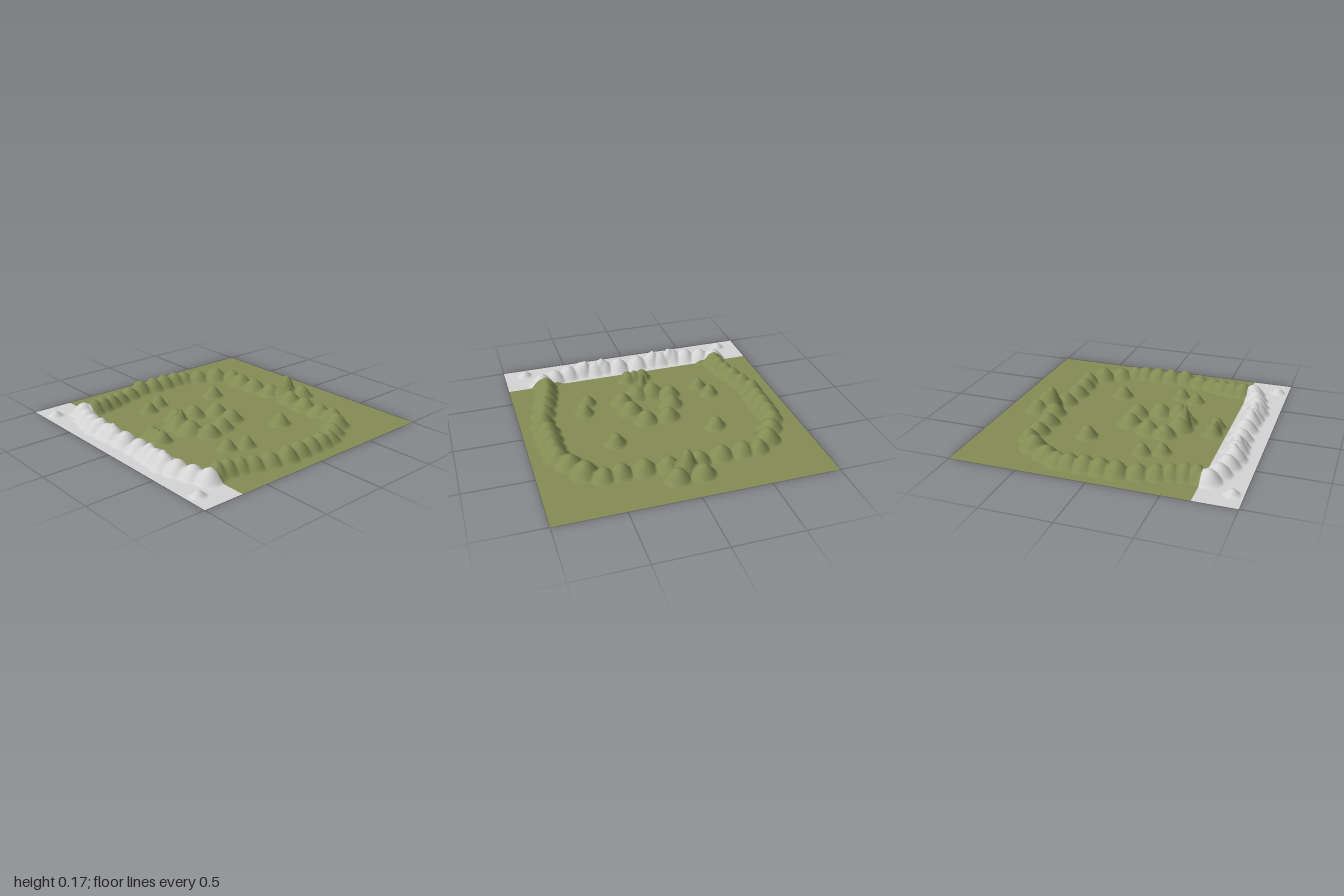
import * as THREE from 'three';

// Mounds as [x, z, radius, height]; those off the centre line are mirrored in x
const ring = [
  [0.09, -0.77, 0.095, 0.09], [0.11, -0.62, 0.095, 0.085], [0.28, -0.6, 0.1, 0.085],
  [0.44, -0.6, 0.095, 0.085], [0.56, -0.61, 0.085, 0.085], [0.67, -0.52, 0.105, 0.1],
  [0.75, -0.39, 0.1, 0.08], [0.81, -0.28, 0.095, 0.08], [0.82, -0.19, 0.095, 0.09],
  [0.82, -0.08, 0.1, 0.095], [0.82, 0.03, 0.1, 0.095], [0.83, 0.15, 0.095, 0.1],
  [0.8, 0.28, 0.095, 0.085], [0.77, 0.4, 0.095, 0.085], [0.74, 0.49, 0.09, 0.09],
  [0.72, 0.58, 0.09, 0.1], [0.71, 0.66, 0.09, 0.1],
];
const frontWall = [
  [0.73, 0.74, 0.1, 0.09], [0.62, 0.78, 0.1, 0.085], [0.5, 0.81, 0.1, 0.09],
  [0.39, 0.83, 0.1, 0.095], [0.28, 0.82, 0.1, 0.09], [0.2, 0.82, 0.09, 0.09],
  [0.08, 0.81, 0.1, 0.09], [0.36, 0.82, 0.07, 0.11], [0.22, 0.82, 0.07, 0.11],
  [0.84, 0.92, 0.055, 0.04],
];
const inner = [
  [0.38, -0.24, 0.08, 0.085], [0.085, -0.02, 0.095, 0.085], [0.16, 0.14, 0.095, 0.085],
  [0.19, 0.28, 0.09, 0.085], [0.5, 0.21, 0.07, 0.08], [0.45, 0.34, 0.07, 0.075],
  [0.06, 0.35, 0.11, 0.09], [0.06, 0.6, 0.075, 0.08], [0, 0.6, 0.06, 0.08],
  [0, 0.38, 0.05, 0.17], [0, -0.69, 0.09, 0.17],
];
const mounds = [...ring, ...frontWall, ...inner];

// Height of the ground: the tallest rounded mound at this point
function heightAt(x, z) {
  let y = 0;
  for (const [mx, mz, r, h] of mounds) {
    const t = ((Math.abs(x) - mx) ** 2 + (z - mz) ** 2) / (r * r);
    if (t < 1) y = Math.max(y, h * Math.pow(1 - t, 1.3));
  }
  return y;
}

// A strip of ground between two z positions, raised by the mounds
function groundStrip(name, z0, z1, material) {
  const cell = 0.0125;
  const geometry = new THREE.PlaneGeometry(2, z1 - z0, 160, Math.round((z1 - z0) / cell));
  geometry.rotateX(-Math.PI / 2);
  geometry.translate(0, 0, (z0 + z1) / 2);
  const p = geometry.attributes.position;
  for (let i = 0; i < p.count; i++) p.setY(i, heightAt(p.getX(i), p.getZ(i)));
  geometry.computeVertexNormals();
  const mesh = new THREE.Mesh(geometry, material);
  mesh.name = name;
  return mesh;
}

export function createModel() {
  const group = new THREE.Group();
  group.name = 'moundedTerrain';
  const grass = new THREE.MeshStandardMaterial({ color: 0x848c54, side: THREE.DoubleSide });
  grass.name = 'grassGreen';
  const stone = new THREE.MeshStandardMaterial({ color: 0xd4d4d4, side: THREE.DoubleSide });
  stone.name = 'paleGrey';
  group.add(groundStrip('grassGround', -1, 0.7, grass));
  group.add(groundStrip('paleFrontStrip', 0.7, 1, stone));
  return group;
}
